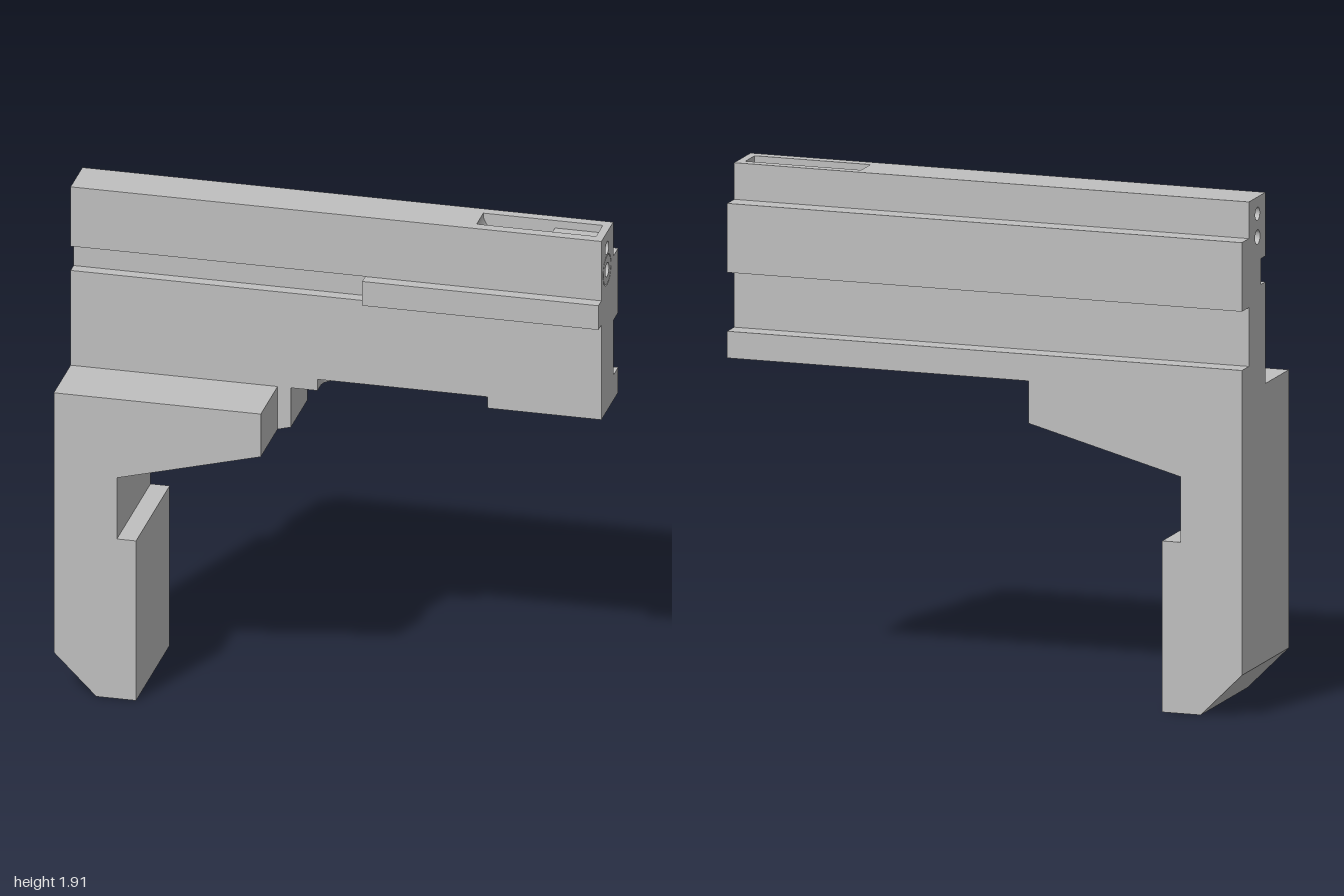
import * as THREE from 'three';

const BACK = 0.253, WEB = 0.178, FRONT = 0.253;
const TOP = 1.915, PLATE = 1.245, DECK = 1.2;
const BORE = { u: 0.085, y: 1.765 }, ROD = { u: 0.085, y: 1.852 };

const shapeOf = pts => new THREE.Shape(pts.map(p => new THREE.Vector2(p[0], p[1])));

function circle(c, r) {
  const path = new THREE.Path();
  path.absarc(c.u, c.y, r, 0, Math.PI * 2, true);
  return path;
}

function extrude(shape, depth) {
  return new THREE.ExtrudeGeometry(shape, { depth, bevelEnabled: false, curveSegments: 24 });
}

// shape in (-z, y), swept along x
function alongX(shape, x0, x1) {
  return extrude(shape, x1 - x0).rotateY(Math.PI / 2).translate(x0, 0, 0);
}

// shape in (x, -z), swept along y
function alongY(shape, y0, y1) {
  return extrude(shape, y1 - y0).rotateX(-Math.PI / 2).translate(0, y0, 0);
}

// shape in (x, y), swept along z
function alongZ(shape, z0, z1) {
  return extrude(shape, z1 - z0).translate(0, 0, z0);
}

// rail cross-section: side is the offset of the front band, slot the floor of the top slot
function railProfile(side, slot) {
  const pts = [
    [0, PLATE], [BACK, PLATE], [BACK, 1.3], [WEB, 1.3], [WEB, 1.52],
    [BACK, 1.52], [BACK, 1.778], [WEB, 1.778], [WEB, TOP],
  ];
  if (slot) pts.push([0.14, TOP], [0.14, slot], [0.04, slot], [0.04, TOP]);
  pts.push([0, TOP], [0, 1.677], [side, 1.677], [side, 1.58], [0, 1.58]);
  return shapeOf(pts);
}

// round hole with a pointed front end
function teardrop(x, back, r) {
  const path = new THREE.Path();
  path.absarc(x, back, r, -Math.PI / 4, Math.PI * 5 / 4, false);
  path.lineTo(x, back - r * Math.SQRT2);
  path.closePath();
  return path;
}

export function createModel() {
  const model = new THREE.Group();
  const grey = new THREE.MeshStandardMaterial({ color: 0xc0c0c0 });
  grey.name = 'grey';
  const add = (name, geometry) => {
    const mesh = new THREE.Mesh(geometry, grey);
    mesh.name = name;
    model.add(mesh);
  };

  // rail: grooved at the rear, with a tongue and top slot toward the muzzle
  const sections = [
    { name: 'railRear', x: [-1, 0.11], side: 0.045, upper: true, bore: 0.027 },
    { name: 'railMiddle', x: [0.11, 0.52], side: -0.045, upper: true, bore: 0.027 },
    { name: 'railDeepSlot', x: [0.52, 0.79], side: -0.045, slot: 1.8, bore: 0.027 },
    { name: 'railShallowSlot', x: [0.79, 0.97], side: -0.045, slot: 1.885, upper: true, bore: 0.027 },
    { name: 'railMuzzle', x: [0.97, 1], side: -0.045, upper: true, bore: 0.06 },
  ];
  for (const s of sections) {
    const profile = railProfile(s.side, s.slot);
    profile.holes.push(circle(BORE, s.bore));
    if (s.upper) profile.holes.push(circle(ROD, 0.025));
    add(s.name, alongX(profile, s.x[0], s.x[1]));
  }

  // ring set into the muzzle face with a fine seam around it
  const ring = new THREE.Shape();
  ring.absarc(BORE.u, BORE.y, 0.056, 0, Math.PI * 2, false);
  ring.holes.push(circle(BORE, 0.027));
  add('muzzleRing', alongX(ring, 0.97, 1));

  // curved ramp at the rear of the deep slot
  const ramp = new THREE.Shape();
  ramp.moveTo(0.52, 1.8);
  ramp.lineTo(0.74, 1.8);
  ramp.quadraticCurveTo(0.55, 1.8, 0.52, 1.9);
  ramp.closePath();
  add('slotRamp', alongZ(ramp, -0.14, -0.04));

  // underside plate with a round-cornered pocket open to the front
  const plate = new THREE.Shape();
  plate.moveTo(-1, 0);
  plate.lineTo(-0.07, 0);
  plate.lineTo(-0.07, 0.04);
  plate.quadraticCurveTo(-0.07, 0.1, -0.01, 0.1);
  plate.lineTo(0.51, 0.1);
  plate.quadraticCurveTo(0.57, 0.1, 0.57, 0.04);
  plate.lineTo(0.57, 0);
  plate.lineTo(1, 0);
  plate.lineTo(1, BACK);
  plate.lineTo(-1, BACK);
  plate.closePath();
  add('undersidePlate', alongY(plate, DECK, PLATE));

  // handle
  add('handle', alongZ(shapeOf([
    [-1, 0.16], [-0.84, 0], [-0.69, 0], [-0.69, 0.64],
    [-0.762, 0.64], [-0.762, DECK], [-1, DECK],
  ]), -BACK, FRONT));

  // bracket under the rail, its lower face sloped and pierced by two teardrop holes
  const outline = [
    [-0.762, -FRONT], [-0.22, -FRONT], [-0.22, 0], [-0.17, 0], [-0.17, BACK], [-0.762, BACK],
  ];
  const bracket = shapeOf(outline);
  for (const x of [-0.325, -0.59]) bracket.holes.push(teardrop(x, 0.12, 0.082));
  const sloped = alongY(bracket, 0, 1.17);
  const pos = sloped.attributes.position;
  for (let i = 0; i < pos.count; i++) {
    if (pos.getY(i) < 0.5) pos.setY(i, 1.042 + 0.265 * (pos.getX(i) + 0.17));
  }
  sloped.computeVertexNormals();
  add('bracket', sloped);
  add('bracketTop', alongY(shapeOf(outline), 1.17, DECK));

  return model;
}
